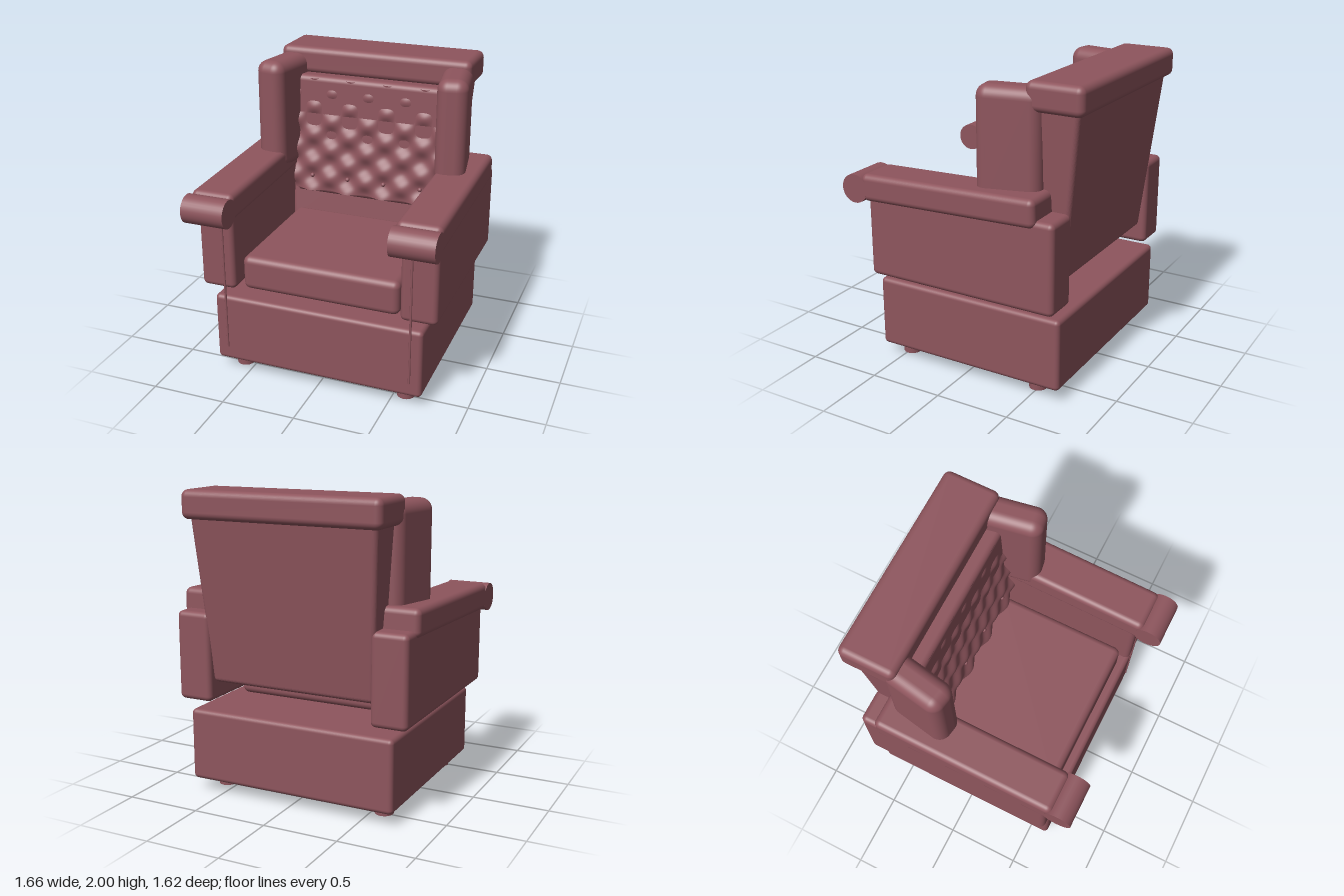
import * as THREE from 'three';
import { RoundedBoxGeometry } from 'three/addons/geometries/RoundedBoxGeometry.js';

const upholstery = new THREE.MeshStandardMaterial({ color: 0x8e555d, side: THREE.DoubleSide });
upholstery.name = 'dusty rose upholstery';

export function createModel() {
  const chair = new THREE.Group();
  chair.name = 'wingArmchair';

  const add = (name, geometry, x, y, z) => {
    const mesh = new THREE.Mesh(geometry, upholstery);
    mesh.name = name;
    mesh.position.set(x, y, z);
    chair.add(mesh);
    return mesh;
  };
  // Rounded box given by its limits on each axis
  const pad = (name, [x0, x1], [y0, y1], [z0, z1], r) =>
    add(name, new RoundedBoxGeometry(x1 - x0, y1 - y0, z1 - z0, 4, r),
      (x0 + x1) / 2, (y0 + y1) / 2, (z0 + z1) / 2);

  pad('base', [-0.72, 0.72], [0.08, 0.56], [-0.7, 0.63], 0.03);
  pad('seatCushion', [-0.54, 0.54], [0.605, 0.84], [-0.36, 0.57], 0.045);
  pad('headRoll', [-0.68, 0.68], [1.815, 2], [-0.81, -0.43], 0.045);

  // Backrest frame: leans back and widens towards the top
  const frame = new RoundedBoxGeometry(1.14, 1.1, 0.32, 4, 0.03);
  const fp = frame.attributes.position;
  for (let i = 0; i < fp.count; i++) {
    const t = fp.getY(i) / 1.1 + 0.5;
    fp.setX(i, fp.getX(i) * (1 + 0.12 * t));
    fp.setZ(i, fp.getZ(i) - 0.12 * t);
  }
  frame.computeVertexNormals();
  add('backrestFrame', frame, 0, 1.3, -0.49);

  // Back cushion with a tufted sheet emerging from its front
  const cushion = pad('backCushion', [-0.54, 0.54], [0.975, 1.825], [-0.51, -0.328], 0.04);
  cushion.rotation.x = -0.042;
  const sheet = new THREE.PlaneGeometry(1.05, 0.79, 80, 72);
  const sp = sheet.attributes.position;
  const sheetZ = (x, y) => -0.267 - 0.124 * (y - 1.02)
    + 0.02 * Math.cos((2 * Math.PI * x) / 0.265) * Math.cos((2 * Math.PI * (y - 1.515)) / 0.2);
  for (let i = 0; i < sp.count; i++) sp.setZ(i, sheetZ(sp.getX(i), sp.getY(i) + 1.415));
  sheet.computeVertexNormals();
  add('tuftedPanel', sheet, 0, 1.415, 0);
  for (const x of [-0.3975, -0.1325, 0.1325, 0.3975]) {
    add('tuftButton', new THREE.SphereGeometry(0.015, 16, 12), x, 1.12, sheetZ(x, 1.12) + 0.008);
  }

  for (const s of [1, -1]) {
    const span = (a, b) => (s > 0 ? [a, b] : [-b, -a]);
    pad('sidePanel', span(0.565, 0.808), [0.62, 1.21], [-0.7, 0.63], 0.035);

    const arm = pad('armrest', span(0.538, 0.83), [1.143, 1.323], [-0.58, 0.668], 0.04);
    arm.rotation.x = 0.033;

    const scroll = add('armScroll', new THREE.CylinderGeometry(0.095, 0.095, 0.292, 32), s * 0.684, 1.2, 0.715);
    scroll.rotation.z = Math.PI / 2;

    const wing = add('wing', new RoundedBoxGeometry(0.205, 0.765, 0.42, 6, 0.075), s * 0.61, 1.573, -0.315);
    wing.rotation.y = s * 0.17;

    // Thin piping down the front
    add('frontPiping', new THREE.CylinderGeometry(0.008, 0.008, 0.97, 10), s * 0.64, 0.665, 0.63);

    for (const z of [0.49, -0.49]) {
      add('leg', new THREE.CylinderGeometry(0.06, 0.06, 0.1, 16), s * 0.58, 0.05, z);
    }
  }
  return chair;
}
